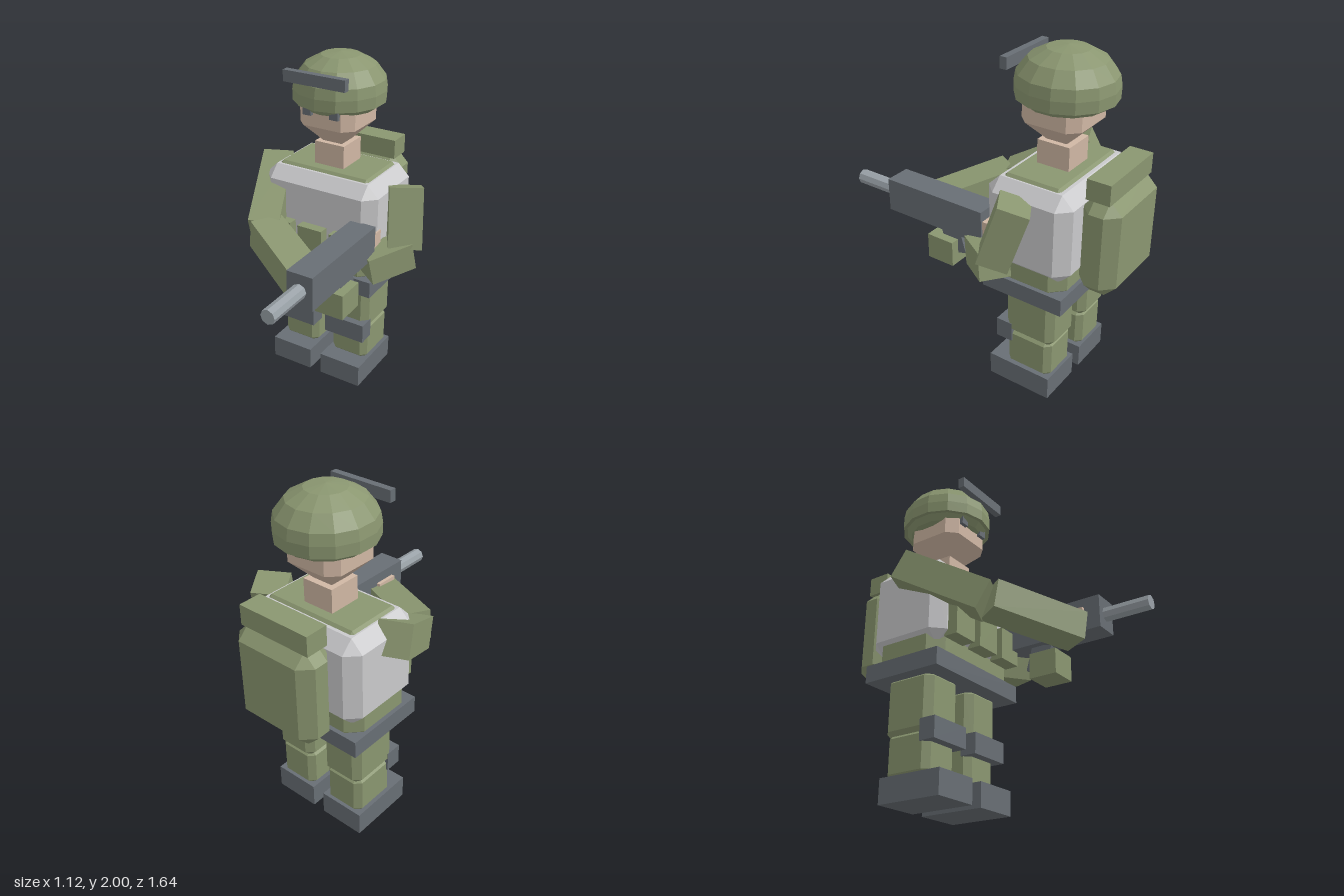
import * as THREE from 'three';
import { ConvexGeometry } from 'three/addons/geometries/ConvexGeometry.js';

export function createModel() {
  const model = new THREE.Group();
  model.name = 'soldier';
  const mat = (name, color) => {
    const m = new THREE.MeshStandardMaterial({ color, flatShading: true });
    m.name = name;
    return m;
  };
  const green = mat('olive cloth', 0x8a9670);
  const dark = mat('gunmetal', 0x686e74);
  const grey = mat('vest grey', 0xcacacc);
  const skin = mat('skin', 0xd0b7a4);
  const steel = mat('barrel steel', 0x99a1a7);

  const add = (name, geometry, material, x = 0, y = 0, z = 0) => {
    const mesh = new THREE.Mesh(geometry, material);
    mesh.name = name;
    mesh.position.set(x, y, z);
    model.add(mesh);
    return mesh;
  };
  // Boxes are given by their extents along x, y and z
  const mid = (r) => (r[0] + r[1]) / 2;
  const len = (r) => r[1] - r[0];
  const box = (name, material, x, y, z) =>
    add(name, new THREE.BoxGeometry(len(x), len(y), len(z)), material, mid(x), mid(y), mid(z));

  // Box with every edge and corner cut by c
  const chamferBox = (name, material, x, y, z, c) => {
    const w = len(x) / 2, h = len(y) / 2, d = len(z) / 2, points = [];
    for (const i of [-1, 1]) for (const j of [-1, 1]) for (const k of [-1, 1]) {
      points.push(
        new THREE.Vector3(i * w, j * (h - c), k * (d - c)),
        new THREE.Vector3(i * (w - c), j * h, k * (d - c)),
        new THREE.Vector3(i * (w - c), j * (h - c), k * d));
    }
    return add(name, new ConvexGeometry(points), material, mid(x), mid(y), mid(z));
  };

  // Box laid between two points
  const beam = (name, from, to, w, h) => {
    const a = new THREE.Vector3(...from), b = new THREE.Vector3(...to);
    const mesh = add(name, new THREE.BoxGeometry(w, h, a.distanceTo(b)), green);
    mesh.position.copy(a).add(b).multiplyScalar(0.5);
    mesh.lookAt(b);
    return mesh;
  };

  // Legs
  for (const [side, x] of [['right', -0.225], ['left', 0.125]]) {
    const span = (h) => [x - h, x + h];
    box(side + 'Boot', dark, span(0.137), [0, 0.14], [-0.505, -0.105]);
    chamferBox(side + 'Shin', green, span(0.122), [0.12, 0.38], [-0.495, -0.205], 0.035);
    chamferBox(side + 'Thigh', green, span(0.13), [0.345, 0.7], [-0.51, -0.195], 0.04);
    box(side + 'KneePad', dark, span(0.133), [0.3, 0.42], [-0.25, -0.15]);
  }

  // Trunk
  box('belt', dark, [-0.42, 0.32], [0.67, 0.77], [-0.6, -0.1]);
  chamferBox('torso', green, [-0.4, 0.3], [0.7, 1.36], [-0.58, -0.12], 0.075);
  chamferBox('vest', grey, [-0.42, 0.32], [0.825, 1.345], [-0.61, -0.095], 0.07);
  for (const x of [-0.26, -0.05, 0.16])
    box('pouch', green, [x - 0.08, x + 0.08], [0.86, 1.05], [-0.12, -0.035]);
  chamferBox('backpack', green, [-0.31, 0.21], [0.77, 1.33], [-0.82, -0.6], 0.068);
  box('bedroll', green, [-0.275, 0.175], [1.32, 1.435], [-0.765, -0.63]);

  // Head: octagonal block tapering to the chin
  box('neck', skin, [-0.147, 0.043], [1.34, 1.495], [-0.45, -0.255]);
  const headPoints = [];
  for (const [y, h, c] of [[1.49, 0.058, 0.002], [1.61, 0.178, 0.058], [1.8, 0.178, 0.058]])
    for (const i of [-1, 1]) for (const k of [-1, 1]) headPoints.push(
      new THREE.Vector3(i * h, y, k * (h - c)),
      new THREE.Vector3(i * (h - c), y, k * h));
  add('head', new ConvexGeometry(headPoints), skin, -0.052, 0, -0.35);
  for (const x of [-0.137, 0.035])
    box('eye', dark, [x - 0.027, x + 0.027], [1.68, 1.73], [-0.18, -0.15]);

  // Helmet
  const profile = [[0, 1.685], [0.18, 1.685], [0.215, 1.7], [0.242, 1.735], [0.264, 1.735],
    [0.266, 1.8], [0.256, 1.86], [0.2, 1.935], [0.11, 1.985], [0, 2]];
  const helmet = add('helmet',
    new THREE.LatheGeometry(profile.map(([r, y]) => new THREE.Vector2(r, y)), 14),
    green, -0.05, 0, -0.365);
  helmet.scale.z = 1.035;
  box('goggles', dark, [-0.245, 0.14], [1.87, 1.935], [-0.125, -0.085]);

  // Arms, both bent toward the gun
  beam('rightUpperArm', [-0.45, 1.28, -0.34], [-0.26, 1.04, 0.1], 0.18, 0.18);
  beam('rightForearm', [-0.25, 1.05, 0.11], [0.22, 0.965, 0.385], 0.19, 0.17);
  box('rightHand', skin, [0.165, 0.25], [1.0, 1.08], [0.31, 0.45]);
  beam('leftUpperArm', [0.39, 1.3, -0.355], [0.445, 0.97, -0.26], 0.19, 0.17);
  beam('leftForearm', [0.46, 0.95, -0.28], [0.3, 0.895, -0.07], 0.17, 0.16);
  box('leftHand', skin, [0.2, 0.328], [0.9, 1.08], [-0.195, -0.08]);

  // Gun
  box('gunBody', dark, [0.187, 0.34], [0.945, 1.14], [-0.105, 0.545]);
  const barrel = add('barrel', new THREE.CylinderGeometry(0.042, 0.042, 0.3, 8), steel, 0.263, 1.043, 0.67);
  barrel.rotation.x = Math.PI / 2;
  const grip = add('grip', new THREE.BoxGeometry(0.07, 0.16, 0.13), dark, 0.263, 0.872, 0.12);
  grip.rotation.x = 0.28;
  box('magazine', green, [0.177, 0.35], [0.735, 0.885], [0.088, 0.26]);

  return model;
}
